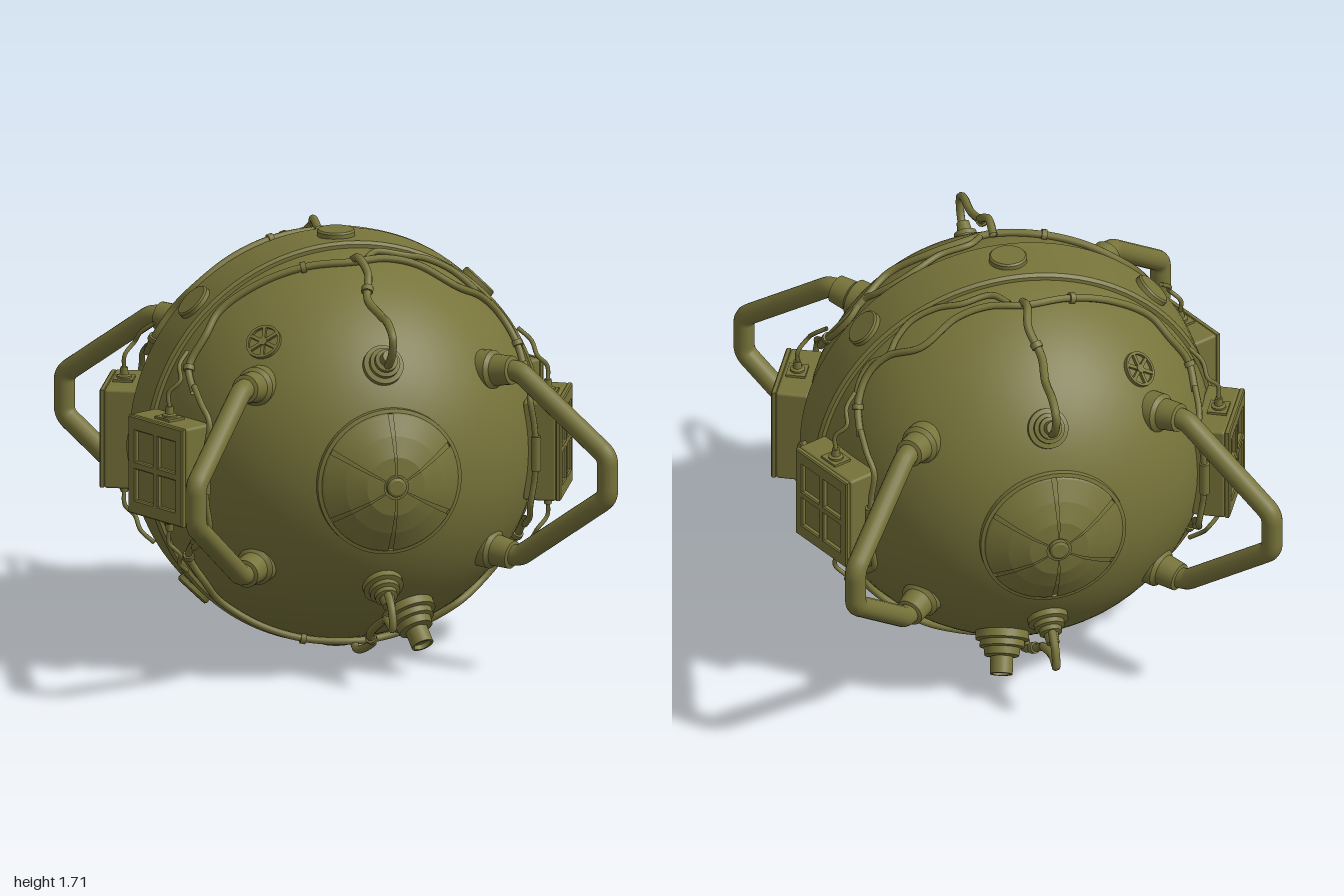
import * as THREE from 'three';
import { RoundedBoxGeometry } from 'three/addons/geometries/RoundedBoxGeometry.js';

const R = 0.815; // hull radius; everything is laid out around the hull centre
const mat = new THREE.MeshStandardMaterial({ color: 0x77733a, side: THREE.DoubleSide });
const V = (x, y, z) => new THREE.Vector3(x, y, z);
const UP = V(0, 1, 0);
const SIDES = [1, -1];

function mesh(name, geo, parent) {
  const m = new THREE.Mesh(geo, mat);
  m.name = name;
  parent.add(m);
  return m;
}

// Stepped round part: every [radius, height] pair is joined by a crisp-edged ring.
function turned(name, profile, parent, seg = 32, start = 0, sweep = Math.PI * 2) {
  const g = new THREE.Group();
  g.name = name;
  for (let i = 0; i < profile.length - 1; i++) {
    const pts = [profile[i], profile[i + 1]].map(([r, h]) => new THREE.Vector2(r, h));
    mesh(name + 'Ring', new THREE.LatheGeometry(pts, seg, start, sweep), g);
  }
  parent.add(g);
  return g;
}

// Point the local y axis of an object along a direction.
function aim(obj, dir) {
  obj.quaternion.setFromUnitVectors(UP, dir.clone().normalize());
  return obj;
}

function cable(name, pts, radius, parent, seg = 90) {
  const curve = new THREE.CatmullRomCurve3(pts);
  mesh(name, new THREE.TubeGeometry(curve, seg, radius, 8), parent);
  return curve;
}

function sleeve(name, curve, t, radius, length, parent) {
  const m = mesh(name, new THREE.CylinderGeometry(radius, radius, length, 12), parent);
  m.position.copy(curve.getPointAt(t));
  aim(m, curve.getTangentAt(t));
}

// Point lying on the hull at an angle from the top and a given z.
function onHull(deg, z, lift = 0.015) {
  const a = THREE.MathUtils.degToRad(deg);
  const rho = Math.sqrt((R + lift) ** 2 - z * z);
  return V(Math.sin(a) * rho, Math.cos(a) * rho, z);
}

// Central band with eight round studs
function addBand(root) {
  const band = turned('equatorBand', [[0.79, -0.127], [0.82, -0.127], [0.832, -0.115],
    [0.832, 0.115], [0.82, 0.127], [0.79, 0.127]], root, 96);
  band.rotation.x = Math.PI / 2;
  for (let i = 0; i < 8; i++) {
    const a = i * Math.PI / 4;
    const stud = turned('bandStud', [[0.077, 0.8], [0.077, 0.848], [0.07, 0.855], [0, 0.855]], root);
    aim(stud, V(Math.sin(a), Math.cos(a), 0));
  }
}

// Domed end cap split into six panels by radial grooves
function addCap(root, sz) {
  const cap = new THREE.Group();
  cap.name = 'endCap';
  turned('capFlange', [[0.3, 0.74], [0.3, 0.78], [0.285, 0.785]], cap, 64);
  const dome = (lift) => [[0.285, 0.785], [0.28, 0.79 + lift], [0.2, 0.835 + lift],
    [0.12, 0.868 + lift], [0.05, 0.876 + lift]];
  turned('capBase', [...dome(-0.012), [0, 0.866]], cap, 48);
  for (let i = 0; i < 6; i++) {
    turned('capPanel', dome(0.002), cap, 10, i * Math.PI / 3 + 0.035, Math.PI / 3 - 0.07);
  }
  turned('capHub', [[0.04, 0.86], [0.04, 0.885], [0.03, 0.89], [0, 0.89]], cap, 24);
  cap.rotation.x = sz * Math.PI / 2;
  root.add(cap);
}

// Bent carrying handle with flared sockets
function addHandle(root, sx, sz) {
  const g = new THREE.Group();
  g.name = 'handle';
  const at = (r, y) => V(sx * 0.669 * r, y, sz * 0.743 * r);
  const key = [at(0.7, 0.37), at(0.865, 0.385), at(1.285, 0.085), at(1.285, -0.085),
    at(0.865, -0.385), at(0.7, -0.37)];
  const path = new THREE.CurvePath();
  let from = key[0];
  for (let i = 1; i < key.length - 1; i++) {
    const a = key[i].clone().lerp(key[i - 1], 0.035 / key[i].distanceTo(key[i - 1]));
    const b = key[i].clone().lerp(key[i + 1], 0.035 / key[i].distanceTo(key[i + 1]));
    path.add(new THREE.LineCurve3(from, a));
    path.add(new THREE.QuadraticBezierCurve3(a, key[i], b));
    from = b;
  }
  path.add(new THREE.LineCurve3(from, key[5]));
  mesh('handleBar', new THREE.TubeGeometry(path, 160, 0.043, 16), g);
  for (const sy of SIDES) {
    const s = turned('handleSocket', [[0.083, -0.06], [0.08, 0.015], [0.064, 0.03],
      [0.058, 0.105], [0.04, 0.11]], g, 24);
    s.position.copy(at(0.73, sy * 0.37));
    aim(s, at(1, sy * 0.12));
  }
  root.add(g);
}

// Equipment box with a four-pane recessed face and a plug above and below
function addBox(root, sx, sz) {
  const g = new THREE.Group();
  g.name = 'equipmentBox';
  g.position.set(sx * 0.79, 0, sz * 0.33);
  g.rotation.y = Math.atan2(sx * 0.91, sz * 0.41);
  mesh('boxBody', new RoundedBoxGeometry(0.34, 0.41, 0.135, 2, 0.012), g).position.z = -0.01;
  const rect = (P, x, y, w, h) => new P([[-1, -1], [1, -1], [1, 1], [-1, 1]]
    .map(([i, j]) => new THREE.Vector2(x + i * w / 2, y + j * h / 2)));
  const face = rect(THREE.Shape, 0, 0, 0.325, 0.395);
  for (const i of SIDES) for (const j of SIDES) {
    face.holes.push(rect(THREE.Path, i * 0.07, j * 0.08, 0.117, 0.137));
  }
  const plate = new THREE.ExtrudeGeometry(face, { depth: 0.014, bevelSize: 0.005, bevelThickness: 0.005, bevelSegments: 1 });
  mesh('boxFacePlate', plate, g).position.z = 0.058;
  for (const sy of SIDES) {
    const plug = new THREE.Group();
    plug.name = 'boxPlug';
    mesh('plugPlate', new THREE.BoxGeometry(0.09, 0.014, 0.08), plug);
    turned('plugCone', [[0.03, 0], [0.03, 0.015], [0.018, 0.02], [0.015, 0.05], [0, 0.05]], plug, 16);
    plug.position.y = sy * 0.208;
    if (sy < 0) plug.rotation.x = Math.PI;
    g.add(plug);
  }
  root.add(g);
}

// Wavy cable runs over the top and under the bottom of one half
function addCables(root, sz) {
  for (const sy of SIDES) {
    const flip = (p) => V(p.x, p.y * sy, p.z * sz);
    const run = (list) => list.map(([a, z]) => flip(onHull(a, z)));
    const main = cable('mainCable', run([[-66, 0.34], [-60, 0.25], [-50, 0.23], [-42, 0.19], [-28, 0.21],
      [-14, 0.24], [0, 0.27], [10, 0.24], [20, 0.24], [33, 0.28], [43, 0.21], [51, 0.2], [59, 0.25],
      [66, 0.34]]), 0.015, root, 140);
    for (const t of [0.06, 0.39, 0.94]) sleeve('cableClip', main, t, 0.023, 0.022, root);
    cable('sideCable', run([[4, 0.25], [8, 0.19], [17, 0.185], [24, 0.15], [32, 0.14], [38, 0.17],
      [43, 0.21], [49, 0.17], [56, 0.2], [61, 0.27]]), 0.013, root);
    // feed from the main run to the stepped socket
    const outer = sy > 0
      ? [[0, 0.815, 0.33], [0.015, 0.77, 0.41], [-0.015, 0.69, 0.51], [0, 0.655, 0.64], [0, 0.645, 0.76]]
      : [[0, 0.81, 0.31], [0.03, 0.76, 0.42], [-0.01, 0.69, 0.53], [0.01, 0.61, 0.65], [0, 0.585, 0.76]];
    const feed = [[0, 0.79, 0.25], ...outer, [0, 0.6, 0.825], [0, 0.52, 0.805], [0, 0.44, 0.7]];
    const curve = cable('feedCable', feed.map(([x, y, z]) => flip(V(x, y, z))), 0.017, root);
    sleeve('feedClip', curve, 0.3, 0.024, 0.025, root);
    const socket = turned('steppedSocket', [[0.082, 0.79], [0.082, 0.835], [0.062, 0.84], [0.062, 0.86],
      [0.046, 0.865], [0.046, 0.885], [0.03, 0.89], [0.026, 0.93], [0, 0.93]], root);
    aim(socket, V(0, sy * 0.455, sz * 0.68));
    // thin leads into the box plugs
    for (const sx of SIDES) {
      cable('plugLead', [[0.79, 0.25, 0.33], [0.79, 0.31, 0.32], [0.745, 0.36, 0.33], [0.735, 0.41, 0.28],
        [0.69, 0.455, 0.24]].map(([x, y, z]) => V(x * sx, y * sy, z * sz)), 0.009, root, 40);
    }
  }
  // loops passing beside the boxes
  for (const sx of SIDES) {
    const half = [[0.69, 0.335, 0.34], [0.685, 0.28, 0.43], [0.67, 0.22, 0.49], [0.685, 0.11, 0.5]];
    const pts = [...half, [0.69, 0, 0.505], ...half.slice().reverse().map(([x, y, z]) => [x, -y, z])];
    const loop = cable('boxLoopCable', pts.map(([x, y, z]) => V(x * sx, y, z * sz)), 0.013, root, 70);
    sleeve('loopSleeve', loop, 0.5, 0.021, 0.14, root);
  }
}

// Stepped nozzle low on the hull
function addNozzle(root, sz) {
  const n = turned('nozzle', [[0.108, 0.77], [0.108, 0.84], [0.09, 0.845], [0.09, 0.87], [0.074, 0.875],
    [0.07, 0.905], [0.046, 0.91], [0.046, 0.98], [0.036, 0.98], [0.036, 0.96], [0, 0.96]], root);
  aim(n, V(0.15, -0.605, sz * 0.526));
}

// Round vent with six spokes
function addVent(root, sz) {
  const g = new THREE.Group();
  g.name = 'vent';
  turned('ventRim', [[0.073, 0.79], [0.073, 0.828], [0.062, 0.828], [0.062, 0.815], [0, 0.815]], g);
  for (let i = 0; i < 3; i++) {
    const s = mesh('ventSpoke', new THREE.BoxGeometry(0.13, 0.014, 0.014), g);
    s.position.y = 0.82;
    s.rotation.y = i * Math.PI / 3;
  }
  turned('ventHub', [[0.018, 0.81], [0.018, 0.83], [0, 0.83]], g, 16);
  root.add(aim(g, V(-0.43, 0.525, sz * 0.45)));
}

export function createModel() {
  const model = new THREE.Group();
  model.name = 'sphericalDevice';
  const root = new THREE.Group();
  root.name = 'deviceBody';
  root.position.y = 0.855;
  model.add(root);
  mesh('hull', new THREE.SphereGeometry(R, 80, 56), root);
  addBand(root);
  for (const sz of SIDES) {
    addCap(root, sz);
    addCables(root, sz);
    addNozzle(root, sz);
    addVent(root, sz);
    for (const sx of SIDES) {
      addHandle(root, sx, sz);
      addBox(root, sx, sz);
    }
  }
  return model;
}
